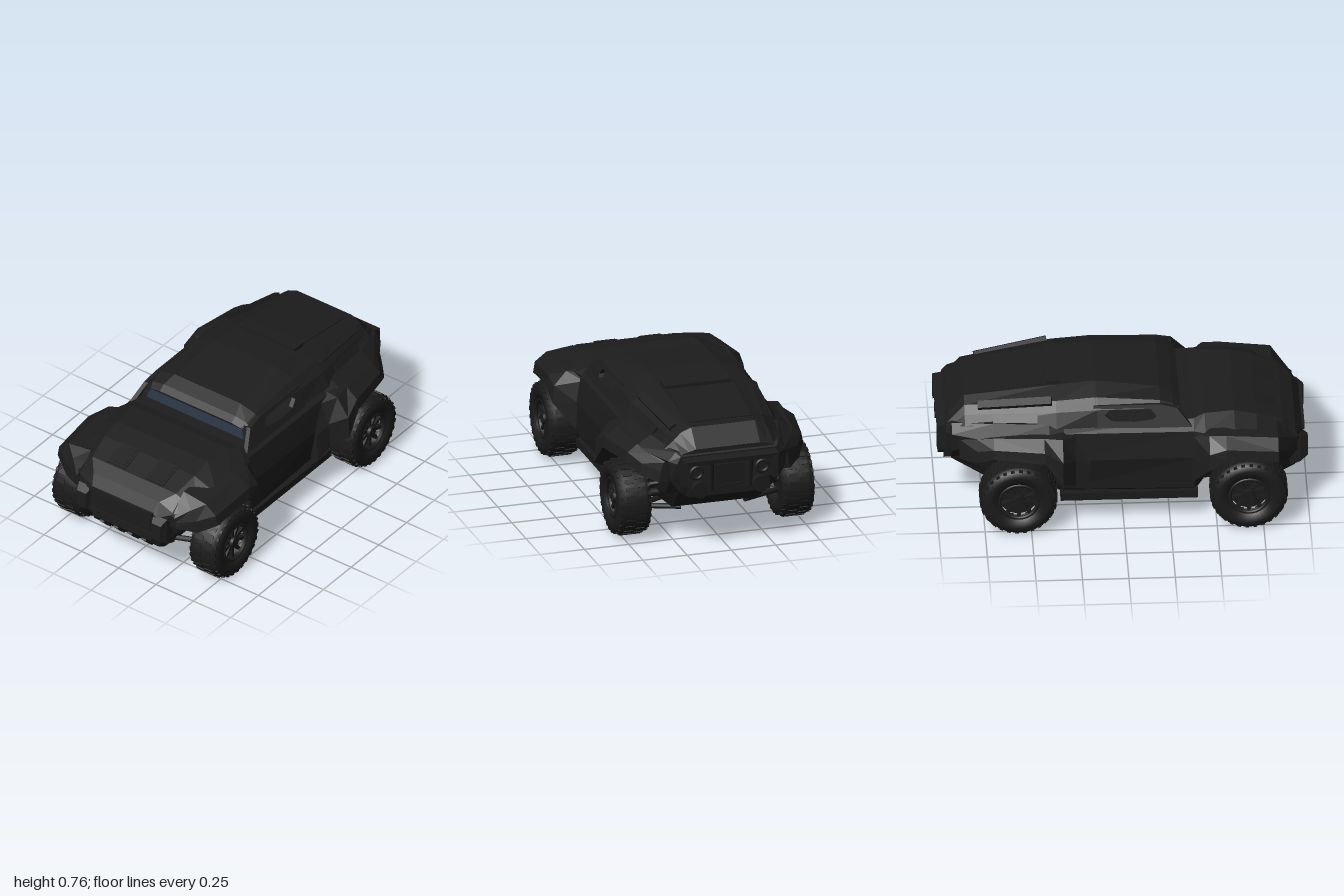
import * as THREE from 'three';

const paint = new THREE.MeshStandardMaterial({ color: 0x1d1d1d, flatShading: true, name: 'body black' });
const rubber = new THREE.MeshStandardMaterial({ color: 0x1b1b1b, name: 'rubber and trim' });
const glass = new THREE.MeshStandardMaterial({ color: 0x283344, name: 'tinted glass' });

function add(parent, name, geometry, material, x = 0, y = 0, z = 0, rx = 0, ry = 0, rz = 0) {
  const mesh = new THREE.Mesh(geometry, material);
  mesh.name = name;
  mesh.position.set(x, y, z);
  mesh.rotation.set(rx, ry, rz);
  parent.add(mesh);
  return mesh;
}
const box = (w, h, d) => new THREE.BoxGeometry(w, h, d);
const points = list => list.map(p => new THREE.Vector2(...p));

// Skin closed rings, ordered front to back and counter-clockwise seen from the front
function loft(rings) {
  const out = [];
  const tri = (...p) => p.forEach(v => out.push(...v));
  const n = rings[0].length;
  const middle = ring => [0, 1, 2].map(k => ring.reduce((s, p) => s + p[k], 0) / n);
  const last = rings[rings.length - 1];
  for (let j = 0; j < n; j++) {
    const k = (j + 1) % n;
    for (let i = 0; i < rings.length - 1; i++) {
      const a = rings[i], b = rings[i + 1];
      tri(a[j], b[j], b[k]);
      tri(a[j], b[k], a[k]);
    }
    tri(middle(rings[0]), rings[0][j], rings[0][k]);
    tri(middle(last), last[k], last[j]);
  }
  const g = new THREE.BufferGeometry();
  g.setAttribute('position', new THREE.Float32BufferAttribute(out, 3));
  g.computeVertexNormals();
  return g;
}
// Station: [z, x1, y1, x2, y2, ...] half section from the bottom to the top
function symmetricLoft(stations) {
  return loft(stations.map(([z, ...v]) => {
    const half = [];
    for (let i = 0; i < v.length; i += 2) half.push([v[i], v[i + 1], z]);
    return [...half, ...half.map(([x, y]) => [-x, y, z]).reverse()];
  }));
}
// Station: [z, floor height, then the half section]; the floor is a little narrower than the sill
const hullLoft = stations => symmetricLoft(stations.map(([z, floor, sill, ...v]) =>
  [z, sill * 0.86, floor, sill, ...v]));
// Station: [z, lip height, shoulder height, outer x]
function fenderLoft(stations) {
  return loft(stations.map(([z, lip, top, x]) => [
    [0.3, lip, z], [x, lip, z], [x - 0.01, lip * 0.45 + top * 0.55, z],
    [0.3 + (x - 0.3) * 0.68, top, z], [0.31, top + 0.02, z]]));
}
function rod(parent, name, a, b, r) {
  const p = new THREE.Vector3(...a), q = new THREE.Vector3(...b), d = q.clone().sub(p);
  const m = add(parent, name, new THREE.CylinderGeometry(r, r, d.length(), 10), rubber);
  m.position.copy(p).add(q).multiplyScalar(0.5);
  m.quaternion.setFromUnitVectors(new THREE.Vector3(0, 1, 0), d.normalize());
}

function makeWheel(name) {
  const wheel = new THREE.Group();
  wheel.name = name;
  const half = [[0.1, 0.05], [0.115, 0.085], [0.16, 0.094], [0.192, 0.084], [0.206, 0.055]];
  const profile = points([...half.map(([r, x]) => [r, -x]), ...half.reverse()]);
  add(wheel, 'tyre', new THREE.LatheGeometry(profile, 40).rotateZ(-Math.PI / 2), rubber);
  const block = box(0.05, 0.012, 0.024), edge = box(0.028, 0.02, 0.02);
  for (let i = 0; i < 28; i++) {
    for (const s of [-1, 1]) {
      const a = (i + s * 0.25) / 28 * Math.PI * 2, c = Math.cos(a), d = Math.sin(a);
      add(wheel, 'treadBlock', block, rubber, s * 0.03, 0.204 * c, 0.204 * d, a);
      add(wheel, 'shoulderBlock', edge, rubber, s * 0.071, 0.188 * c, 0.188 * d, a);
    }
  }
  const turn = Math.PI / 2;
  add(wheel, 'rimDish', new THREE.CylinderGeometry(0.102, 0.102, 0.09, 32), rubber, -0.015, 0, 0, 0, 0, turn);
  add(wheel, 'rimRing', new THREE.TorusGeometry(0.104, 0.01, 8, 36), rubber, 0.075, 0, 0, 0, turn, 0);
  add(wheel, 'hub', new THREE.CylinderGeometry(0.03, 0.036, 0.05, 16), rubber, 0.052, 0, 0, 0, 0, -turn);
  for (let i = 0; i < 10; i++) {
    const a = i / 10 * Math.PI * 2;
    add(wheel, 'spoke', box(0.025, 0.08, 0.018), rubber, 0.048, 0.064 * Math.cos(a), 0.064 * Math.sin(a), a);
  }
  return wheel;
}

// Parts on the left side, mirrored for the right
function makeSide(name) {
  const side = new THREE.Group();
  side.name = name;
  add(side, 'frontFender', fenderLoft([
    [0.94, 0.38, 0.44, 0.34], [0.88, 0.36, 0.49, 0.44], [0.83, 0.42, 0.53, 0.535],
    [0.55, 0.45, 0.555, 0.55], [0.46, 0.38, 0.555, 0.545], [0.37, 0.25, 0.52, 0.44]]), paint);
  add(side, 'rearFender', fenderLoft([
    [-0.18, 0.22, 0.5, 0.46], [-0.26, 0.27, 0.54, 0.48], [-0.33, 0.33, 0.56, 0.56], [-0.43, 0.45, 0.565, 0.545],
    [-0.7, 0.46, 0.555, 0.5], [-0.79, 0.41, 0.53, 0.45], [-0.88, 0.39, 0.5, 0.37]]), paint);

  // Cabin wall with its open window, leaning inwards
  const wall = new THREE.Shape(points([[0.37, 0.57], [0.29, 0.67], [0.2, 0.69], [-0.16, 0.69], [-0.16, 0.57]]));
  wall.holes.push(new THREE.Path(points(
    [[0.18, 0.63], [0.15, 0.667], [-0.07, 0.67], [-0.1, 0.64], [-0.06, 0.61], [0.06, 0.604], [0.16, 0.615]])));
  const g = new THREE.ExtrudeGeometry(wall, { depth: 0.025, bevelEnabled: false }).rotateY(-Math.PI / 2);
  const pos = g.attributes.position;
  for (let i = 0; i < pos.count; i++) pos.setX(i, pos.getX(i) + 0.39 - (pos.getY(i) - 0.58) * 0.38);
  g.computeVertexNormals();
  add(side, 'cabinWall', g, paint);
  add(side, 'windscreenPillar', box(0.05, 0.08, 0.03), paint, 0.337, 0.627, 0.284, -0.25, 0, 0.25);

  // Sill step
  add(side, 'sideStep', box(0.05, 0.045, 0.74), rubber, 0.405, 0.165, 0.03);
  for (let i = 0; i < 3; i++) add(side, 'stepPad', box(0.02, 0.025, 0.1), rubber, 0.428, 0.18, 0.02 - i * 0.13);

  // Nose details
  add(side, 'bumperHorn', symmetricLoft([[1, 0.025, 0.3, 0.03, 0.4], [0.96, 0.045, 0.27, 0.045, 0.43],
    [0.9, 0.05, 0.25, 0.05, 0.44]]), paint, 0.25);
  add(side, 'headlight', box(0.12, 0.022, 0.04), rubber, 0.305, 0.43, 0.92, 0, 0.55, 0.3);
  add(side, 'hoodVent', box(0.12, 0.014, 0.15), paint, 0.127, 0.563, 0.78, 0.28);
  add(side, 'hoodVentInset', box(0.095, 0.006, 0.12), rubber, 0.127, 0.57, 0.778, 0.28);
  for (const x of [0.047, 0.14]) add(side, 'skidSlot', box(0.03, 0.01, 0.09), rubber, x, 0.202, 0.932, -0.8);

  // Rear details
  add(side, 'deckRail', box(0.045, 0.024, 0.4), paint, 0.286, 0.682, -0.58, -0.13, 0.14, -0.5);
  add(side, 'sideVent', box(0.012, 0.045, 0.24), rubber, 0.348, 0.62, -0.58, -0.05, 0.1, 0.7);
  add(side, 'tailCheek', box(0.03, 0.13, 0.06), paint, 0.252, 0.455, -0.968);
  add(side, 'tailLight', new THREE.TorusGeometry(0.032, 0.01, 8, 20), rubber, 0.185, 0.455, -0.965);
  rod(side, 'tailTube', [0.11, 0.51, -0.965], [0.11, 0.35, -0.955], 0.022);
  add(side, 'exhaust', new THREE.CylinderGeometry(0.045, 0.045, 0.12, 20), rubber, 0.17, 0.36, -0.93, Math.PI / 2);

  // Wheels and suspension
  for (const [z, end] of [[0.67, 'front'], [-0.57, 'rear']]) {
    const wheel = makeWheel(end + 'Wheel');
    wheel.position.set(0.46, 0.212, z);
    side.add(wheel);
    rod(side, end + 'Axle', [0.1, 0.22, z], [0.44, 0.212, z], 0.022);
    for (const dz of [-0.1, 0.1]) {
      rod(side, end + 'LowerArm', [0.18, 0.155, z + dz], [0.4, 0.15, z], 0.015);
      rod(side, end + 'UpperArm', [0.22, 0.31, z + dz], [0.4, 0.26, z], 0.013);
    }
    rod(side, end + 'Damper', [0.36, 0.17, z + 0.05], [0.3, 0.43, z + 0.05], 0.025);
  }
  return side;
}

export function createModel() {
  const car = new THREE.Group();
  car.name = 'armouredOffRoader';

  // Main hull, narrow around the wheels
  add(car, 'hull', hullLoft([
    [0.97, 0.25, 0.22, 0.29, 0.23, 0.36, 0.23, 0.42, 0.2, 0.445],
    [0.93, 0.2, 0.25, 0.26, 0.3, 0.38, 0.32, 0.46, 0.22, 0.5],
    [0.86, 0.155, 0.24, 0.22, 0.39, 0.38, 0.41, 0.48, 0.28, 0.54],
    [0.72, 0.145, 0.24, 0.25, 0.32, 0.42, 0.45, 0.53, 0.3, 0.585],
    [0.6, 0.145, 0.24, 0.25, 0.32, 0.43, 0.45, 0.54, 0.3, 0.61],
    [0.44, 0.145, 0.28, 0.2, 0.34, 0.4, 0.43, 0.55, 0.32, 0.61],
    [0.38, 0.14, 0.42, 0.2, 0.435, 0.4, 0.41, 0.55, 0.35, 0.597],
    [-0.32, 0.14, 0.4, 0.2, 0.44, 0.4, 0.42, 0.56, 0.36, 0.595],
    [-0.4, 0.15, 0.3, 0.22, 0.34, 0.42, 0.45, 0.56, 0.38, 0.6],
    [-0.7, 0.17, 0.28, 0.25, 0.33, 0.42, 0.45, 0.54, 0.36, 0.6],
    [-0.92, 0.31, 0.27, 0.34, 0.32, 0.41, 0.33, 0.52, 0.29, 0.57],
    [-0.95, 0.38, 0.25, 0.4, 0.27, 0.45, 0.29, 0.51, 0.27, 0.55]]), paint);

  // Roof with a visor, and the rear deck
  add(car, 'roof', symmetricLoft([
    [0.305, 0.3, 0.653, 0.3, 0.656, 0.24, 0.664], [0.27, 0.335, 0.66, 0.315, 0.676, 0.24, 0.69],
    [0.2, 0.355, 0.67, 0.32, 0.7, 0.22, 0.725], [-0.15, 0.36, 0.67, 0.31, 0.722, 0.2, 0.76]]), paint);
  add(car, 'rearDeck', symmetricLoft([
    [-0.14, 0.39, 0.58, 0.36, 0.67, 0.31, 0.722, 0.2, 0.76],
    [-0.36, 0.4, 0.58, 0.36, 0.66, 0.31, 0.705, 0.2, 0.738],
    [-0.85, 0.33, 0.57, 0.28, 0.61, 0.24, 0.65, 0.18, 0.675],
    [-0.94, 0.28, 0.54, 0.26, 0.56, 0.22, 0.57, 0.18, 0.58]]), paint);
  add(car, 'roofLouvre', box(0.38, 0.02, 0.08), paint, 0, 0.745, -0.37, -0.05);
  add(car, 'deckPanel', box(0.36, 0.012, 0.38), paint, 0, 0.705, -0.61, -0.13);

  // Windscreen strip
  const pane = new THREE.Shape(points([[-0.325, 0], [0.325, 0], [0.3, 0.068], [-0.3, 0.068]]));
  add(car, 'windscreen', new THREE.ExtrudeGeometry(pane, { depth: 0.008, bevelEnabled: false }),
    glass, 0, 0.594, 0.306, -0.25);

  // Nose and tail pieces
  add(car, 'grillePanel', box(0.39, 0.12, 0.02), rubber, 0, 0.36, 0.965);
  add(car, 'grilleTopBar', box(0.42, 0.025, 0.04), paint, 0, 0.432, 0.965);
  add(car, 'grilleLowerBar', box(0.42, 0.02, 0.03), paint, 0, 0.3, 0.968);
  add(car, 'tailLip', box(0.53, 0.025, 0.06), paint, 0, 0.525, -0.968, -0.2);
  add(car, 'tailBox', box(0.16, 0.1, 0.03), rubber, 0, 0.44, -0.955);
  add(car, 'rearBumper', box(0.46, 0.06, 0.08), rubber, 0, 0.345, -0.92);

  const right = makeSide('rightSide');
  right.scale.x = -1;
  car.add(makeSide('leftSide'), right);
  return car;
}
